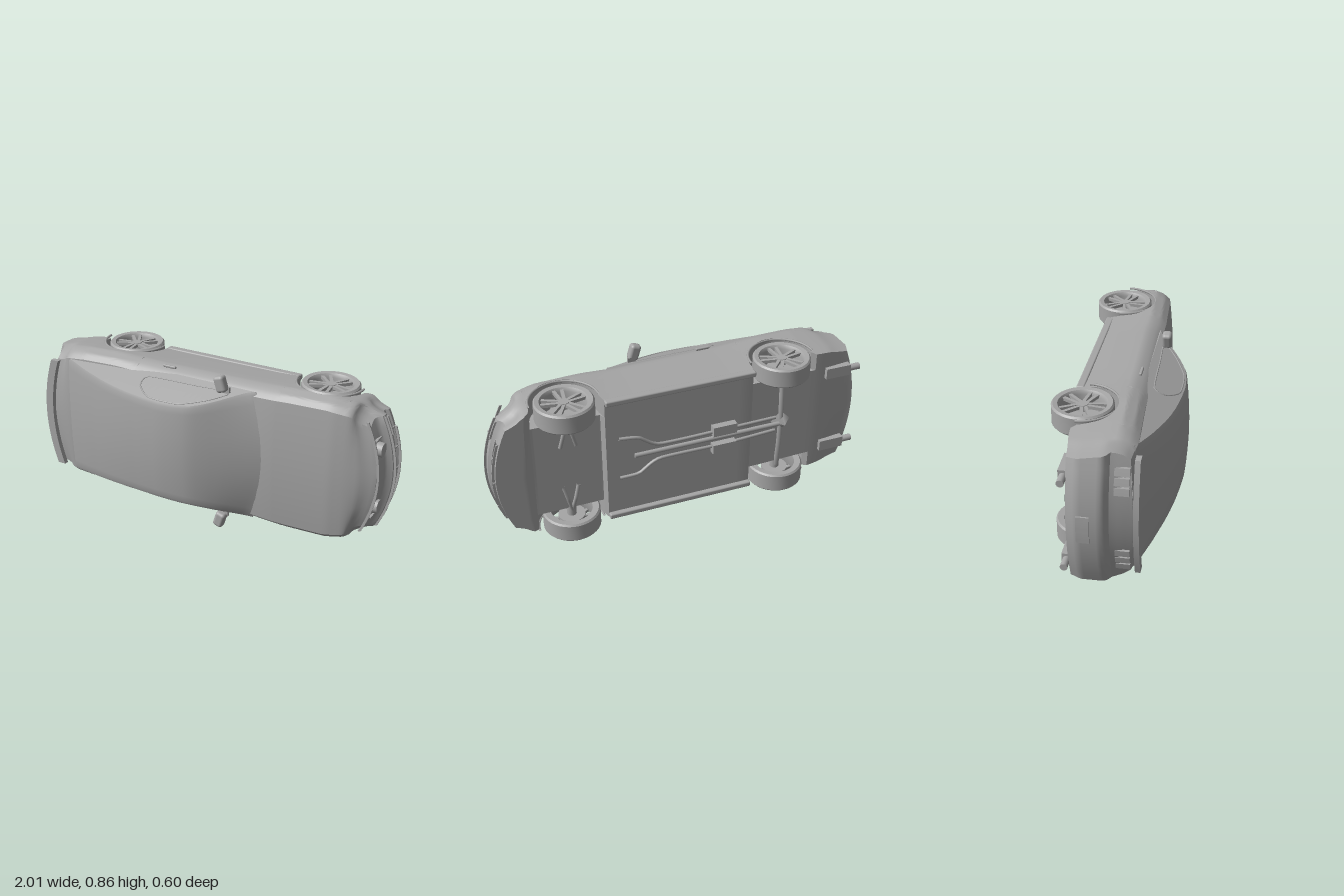
import * as THREE from 'three';
import { toCreasedNormals } from 'three/addons/utils/BufferGeometryUtils.js';
import { RoundedBoxGeometry } from 'three/addons/geometries/RoundedBoxGeometry.js';

// Working frame: x forward, y up, z sideways. The finished car is laid on its side at the end.
const grey = new THREE.MeshStandardMaterial({ color: 0xa6a6a6, side: THREE.DoubleSide });
grey.name = 'grey';

const table = (...pts) => (x) => {
  if (x <= pts[0][0]) return pts[0][1];
  for (let i = 1; i < pts.length; i++) {
    const [x0, y0] = pts[i - 1], [x1, y1] = pts[i];
    if (x <= x1) return y0 + ((y1 - y0) * (x - x0)) / (x1 - x0);
  }
  return pts[pts.length - 1][1];
};
const { smoothstep } = THREE.MathUtils;
const range = (a, b, n) => Array.from({ length: n + 1 }, (_, i) => a + ((b - a) * i) / n);

function mesh(parent, name, geo, x = 0, y = 0, z = 0) {
  const m = new THREE.Mesh(geo, grey);
  m.name = name;
  m.position.set(x, y, z);
  parent.add(m);
  return m;
}

// Joins mirrored half sections along x, closes both ends, then bends every point
function loft(xs, half, bend) {
  const pos = [], idx = [];
  const add = (x, [w, h]) => pos.push(bend(x, w, h), h, w);
  const quad = (a, b, c, d) => idx.push(a, b, c, a, c, d);
  let n = 0;
  xs.forEach((x) => {
    const p = half(x);
    const ring = [...p, ...p.slice(1, -1).reverse().map(([w, h]) => [-w, h])];
    n = ring.length;
    ring.forEach((q) => add(x, q));
  });
  for (let i = 0; i < xs.length - 1; i++)
    for (let j = 0; j < n; j++) {
      const k = (j + 1) % n;
      quad(i * n + j, (i + 1) * n + j, (i + 1) * n + k, i * n + k);
    }
  const steps = 12;
  [xs[0], xs[xs.length - 1]].forEach((x, end) => {
    const base = pos.length / 3, rows = half(x), s = steps + 1;
    rows.forEach(([w, h]) => range(-1, 1, steps).forEach((u) => add(x, [w * u, h])));
    for (let i = 0; i < rows.length - 1; i++)
      for (let k = 0; k < steps; k++) {
        const a = base + i * s + k;
        if (end) quad(a, a + s, a + s + 1, a + 1);
        else quad(a, a + 1, a + s + 1, a + s);
      }
  });
  const g = new THREE.BufferGeometry();
  g.setAttribute('position', new THREE.Float32BufferAttribute(pos, 3));
  g.setIndex(idx);
  return toCreasedNormals(g, 0.55);
}

// Lower body
const AXLES = [-0.535, 0.61], WHEEL_Y = -0.155, ARCH = 0.172;
const floorY = table([-1, -0.15], [-0.75, -0.17], [-0.37, -0.18], [-0.36, -0.2], [0.43, -0.2],
  [0.44, -0.17], [0.8, -0.17], [0.82, -0.19]);
const deckY = table([-1, 0.145], [-0.9, 0.155], [-0.77, 0.165], [-0.5, 0.15], [0.3, 0.12], [0.4, 0.125],
  [0.73, 0.105], [0.9, 0.07], [1, 0.035]);
const bodyW = table([-1, 0.345], [-0.85, 0.37], [-0.68, 0.386], [-0.5, 0.389], [-0.25, 0.378], [0.3, 0.378],
  [0.5, 0.386], [0.7, 0.386], [0.8, 0.37], [0.9, 0.348], [1, 0.305]);
const sideW = table([0.02, 0.88], [0.05, 0.95], [0.1, 1], [0.16, 0.988], [0.25, 0.96], [0.34, 0.93]);
const noseIn = table([-0.19, 0.02], [-0.165, 0.015], [-0.155, 0.03], [-0.12, 0.025], [-0.1, 0.002],
  [-0.065, 0], [-0.045, 0.035], [0.045, 0.055]);
const tailIn = table([-0.15, 0.02], [-0.1, 0], [0.015, 0.012], [0.04, 0.05], [0.15, 0.09]);

const bodyBend = (x, w, h) => {
  const c = (w / 0.35) ** 2;
  return x - smoothstep(x, 0.78, 1) * (0.1 * c + noseIn(h))
    + smoothstep(-x, 0.75, 1) * (0.07 * c + tailIn(h));
};
function bodySection(x) {
  const f = floorY(x), H = deckY(x), W = bodyW(x), inner = 0.262;
  let b = f;
  for (const a of AXLES) {
    const d = Math.abs(x - a);
    if (d < ARCH) b = Math.max(b, WHEEL_Y + Math.sqrt(ARCH ** 2 - d * d));
  }
  const pts = [[0, f], [inner, f], [inner, b]];
  range(0, 1, 16).forEach((v) => {
    const h = b + (H - 0.02 - b) * v;
    pts.push([W * sideW(H - h), h]);
  });
  [0.8, 0.65, 0.45, 0.2, 0].forEach((u) => pts.push([W * u, H - 0.02 * (u / 0.88) ** 2]));
  return pts;
}
const archXs = AXLES.flatMap((a) => range(0, Math.PI, 22).map((t) => a - ARCH * 0.999 * Math.cos(t)));
const bodyXs = [...archXs, ...range(-1, -0.73, 10), -0.361, ...range(-0.355, 0.425, 12), ...range(0.79, 1, 10)]
  .sort((a, b) => a - b);

// Cabin: fastback roof with tumblehome sides and a bowed windscreen
const roofY = table([-0.8, 0.152], [-0.77, 0.166], [-0.64, 0.211], [-0.5, 0.25], [-0.42, 0.267], [-0.34, 0.28],
  [-0.23, 0.292], [-0.13, 0.298], [-0.05, 0.293], [0.03, 0.28], [0.1, 0.253], [0.19, 0.212], [0.41, 0.105]);
const cabinW = (h) => 0.345 - 0.08 * (h - 0.11) / 0.175;
const cabinBend = (x, w) => x - smoothstep(x, 0, 0.4) * 0.08 * (w / 0.33) ** 2;
function cabinSection(x) {
  const H = roofY(x), e = Math.max(H - 0.022, 0.09), R = cabinW(e) - 0.004;
  const pts = [[0, 0.08], [0.345, 0.08]];
  range(0, 1, 4).forEach((v) => { const h = 0.09 + (e - 0.09) * v; pts.push([cabinW(h), h]); });
  [0.97, 0.85, 0.65, 0.4, 0.2, 0].forEach((u) => pts.push([R * u, H - (H - e) * 0.8 * u * u]));
  return pts;
}

// Crosswise bar following the bowed front or rear of the body
function bar(parent, name, dx, dy, width, x, y, z = 0, push = 0.004) {
  const g = new THREE.BoxGeometry(dx, dy, width, 1, 1, 14), p = g.attributes.position, s = Math.sign(x);
  for (let i = 0; i < p.count; i++)
    p.setX(i, p.getX(i) + bodyBend(s, p.getZ(i) + z, y) + s * push);
  p.needsUpdate = true;
  g.translate(0, y, z);
  return mesh(parent, name, toCreasedNormals(g, 0.5));
}
function tube(parent, name, pts, r, closed = false) {
  const curve = new THREE.CatmullRomCurve3(pts.map((p) => new THREE.Vector3(...p)), closed, 'catmullrom', 0.3);
  return mesh(parent, name, new THREE.TubeGeometry(curve, 40, r, 6, closed));
}

// Wheel with five split spokes; s is the outward side
function wheel(car, x, s) {
  const g = new THREE.Group();
  g.name = 'wheel';
  g.position.set(x, WHEEL_Y, s * 0.327);
  if (s < 0) g.rotation.y = Math.PI;
  const profile = [[0.108, -0.05], [0.14, -0.053], [0.148, -0.044], [0.148, 0.044], [0.14, 0.053],
    [0.118, 0.05], [0.114, 0.044], [0.108, 0.03], [0.108, -0.05]].map((p) => new THREE.Vector2(...p));
  mesh(g, 'tyre', toCreasedNormals(new THREE.LatheGeometry(profile, 36).rotateX(Math.PI / 2), 0.5));
  mesh(g, 'hub', new THREE.CylinderGeometry(0.026, 0.03, 0.03, 20).rotateX(Math.PI / 2), 0, 0, 0.03);
  mesh(g, 'brakeDisc', new THREE.CylinderGeometry(0.07, 0.07, 0.012, 28).rotateX(Math.PI / 2), 0, 0, -0.01);
  mesh(g, 'axleStub', new THREE.CylinderGeometry(0.025, 0.025, 0.06, 12).rotateX(Math.PI / 2), 0, 0, -0.04);
  for (let i = 0; i < 5; i++)
    for (const k of [-1, 1]) {
      const spoke = new THREE.BoxGeometry(0.095, 0.016, 0.016).translate(0.063, 0, 0.034);
      spoke.rotateZ(k * 0.13).translate(0, k * 0.006, 0).rotateZ((i * 2 * Math.PI) / 5 + Math.PI / 2);
      mesh(g, 'spoke', spoke);
    }
  car.add(g);
}

export function createModel() {
  const car = new THREE.Group();
  car.name = 'car';
  mesh(car, 'body', loft(bodyXs, bodySection, bodyBend));
  mesh(car, 'cabin', loft([...range(-0.8, -0.3, 12), ...range(-0.26, 0.41, 20)], cabinSection, cabinBend));

  // Nose: grille frame, lamps, lower intake
  bar(car, 'grilleTop', 0.014, 0.007, 0.68 * 0.88, 1, 0.028);
  bar(car, 'bumperLine', 0.012, 0.006, 0.6, 1, -0.068);
  bar(car, 'intakeTop', 0.016, 0.007, 0.43, 1, -0.126);
  bar(car, 'intakeBottom', 0.016, 0.007, 0.43, 1, -0.174);
  for (const z of [-0.212, -0.115, 0, 0.115, 0.212]) bar(car, 'intakeSlat', 0.02, 0.05, 0.006, 1, -0.15, z);
  for (const s of [-1, 1]) {
    mesh(car, 'roundLamp', new THREE.CylinderGeometry(0.035, 0.038, 0.04, 28).rotateZ(-Math.PI / 2),
      bodyBend(1, 0.155, -0.01), -0.01, s * 0.155);
    bar(car, 'grilleEnd', 0.014, 0.07, 0.006, 1, -0.01, s * 0.208);
    bar(car, 'bumperSlot', 0.01, 0.01, 0.09, 1, -0.095, s * 0.25);
  }

  // Tail: lip spoiler, lamps, number plate
  bar(car, 'spoiler', 0.045, 0.026, 0.62, -1, 0.158, 0, 0);
  bar(car, 'plateRecess', 0.008, 0.06, 0.14, -1, -0.07);
  for (const s of [-1, 1])
    for (const z of [0.17, 0.215, 0.26]) bar(car, 'tailLamp', 0.014, 0.075, 0.036, -1, 0.09, s * z);

  for (const s of [-1, 1]) {
    AXLES.forEach((x) => {
      wheel(car, x, s);
      mesh(car, 'archLip', new THREE.TorusGeometry(ARCH, 0.006, 6, 30, Math.PI), x, WHEEL_Y, s * 0.378);
    });
    // Side trim: window frame, handle, sill, mirror
    const frame = [[-0.27, 0.14], [-0.285, 0.2], [-0.2, 0.258], [-0.03, 0.258], [0.12, 0.2], [0.26, 0.125], [0, 0.13]];
    tube(car, 'windowFrame', frame.map(([x, h]) => [cabinBend(x, cabinW(h)), h, s * cabinW(h)]), 0.004, true);
    mesh(car, 'doorHandle', new RoundedBoxGeometry(0.075, 0.014, 0.014, 2, 0.005), -0.19, 0.065, s * 0.375);
    mesh(car, 'sill', new RoundedBoxGeometry(0.79, 0.04, 0.03, 2, 0.008), 0.03, -0.205, s * 0.345);
    const mirror = mesh(car, 'mirror', new RoundedBoxGeometry(0.055, 0.05, 0.085, 3, 0.016), 0.155, 0.145, s * 0.384);
    mirror.rotation.y = -s * 0.3;
    mesh(car, 'mirrorArm', new THREE.BoxGeometry(0.04, 0.016, 0.05), 0.175, 0.128, s * 0.34);

    // Underside: exhaust, silencers, suspension arms
    tube(car, 'exhaustPipe', [[0.36, -0.205, s * 0.12], [0.26, -0.212, s * 0.11], [0.15, -0.212, s * 0.045],
      [-0.2, -0.212, s * 0.045], [-0.5, -0.2, s * 0.04]], 0.009);
    mesh(car, 'silencer', new THREE.BoxGeometry(0.13, 0.04, 0.055), -0.2, -0.217, s * 0.055);
    mesh(car, 'rearSilencer', new THREE.BoxGeometry(0.14, 0.04, 0.06), -0.86, -0.168, s * 0.23);
    mesh(car, 'tailPipe', new THREE.CylinderGeometry(0.018, 0.018, 0.09, 16).rotateZ(Math.PI / 2), -0.945, -0.165, s * 0.23);
    for (const dx of [-0.04, 0.04])
      tube(car, 'frontArm', [[0.61, -0.17, s * 0.28], [0.61 + dx / 2, -0.18, s * 0.2], [0.61 + dx, -0.175, s * 0.12]], 0.01);
    tube(car, 'rearArm', [[-0.535, -0.17, s * 0.29], [-0.535, -0.185, s * 0.15], [-0.535, -0.19, 0]], 0.014);
  }
  mesh(car, 'driveShaft', new THREE.CylinderGeometry(0.012, 0.012, 0.8, 10).rotateZ(Math.PI / 2), -0.12, -0.205, 0);
  mesh(car, 'differential', new THREE.ConeGeometry(0.065, 0.07, 4).rotateX(Math.PI), -0.54, -0.2, 0);
  bar(car, 'cowl', 0.012, 0.008, 0.01, 1, -0.18);

  // Lay the car on its side, roof towards +z
  car.rotation.x = Math.PI / 2;
  car.position.y = 0.425;
  const model = new THREE.Group();
  model.name = 'model';
  model.add(car);
  return model;
}
